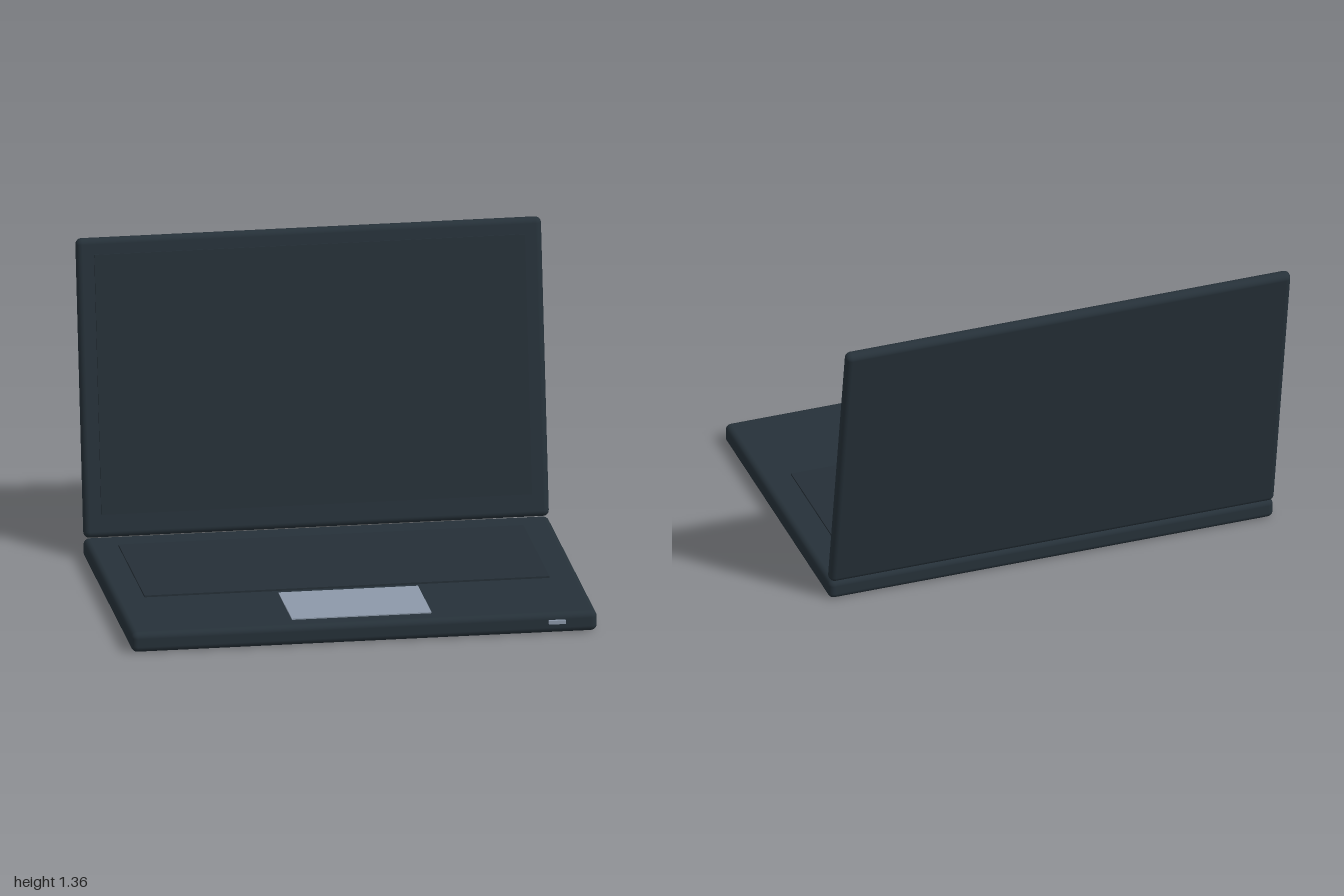
import * as THREE from 'three';
import { RoundedBoxGeometry } from 'three/addons/geometries/RoundedBoxGeometry.js';

const material = (name, color) => {
  const m = new THREE.MeshStandardMaterial({ color });
  m.name = name;
  return m;
};

export function createModel() {
  const shell = material('slate shell', 0x263139);
  const panel = material('dark panel', 0x252f37);
  const metal = material('grey metal', 0x8c98a9);

  const model = new THREE.Group();
  model.name = 'laptop';

  const add = (parent, name, geometry, mat, x, y, z) => {
    const mesh = new THREE.Mesh(geometry, mat);
    mesh.name = name;
    mesh.position.set(x, y, z);
    parent.add(mesh);
    return mesh;
  };

  // Base slab with its keyboard panel, touchpad and front latch
  const baseTop = 0.088;
  add(model, 'base', new RoundedBoxGeometry(2, baseTop, 1.355, 4, 0.026), shell, 0, baseTop / 2, 0.1075);
  add(model, 'keyboardPanel', new THREE.BoxGeometry(1.74, 0.009, 0.715), panel, 0, baseTop + 0.0035, -0.0625);
  add(model, 'touchpad', new THREE.BoxGeometry(0.6, 0.008, 0.37), metal, 0, baseTop + 0.001, 0.515);
  add(model, 'frontLatch', new THREE.BoxGeometry(0.072, 0.016, 0.018), metal, 0.826, 0.052, 0.791);

  // Lid leaning back ten degrees, with the screen on its front
  const thickness = 0.055;
  const lid = new THREE.Group();
  lid.name = 'lid';
  lid.position.set(0, 0.7225, -0.6625);
  lid.rotation.x = -THREE.MathUtils.degToRad(10);
  model.add(lid);
  add(lid, 'lidShell', new RoundedBoxGeometry(2, 1.284, thickness, 4, 0.026), shell, 0, 0, 0);
  add(lid, 'screen', new THREE.BoxGeometry(1.85, 1.115, 0.0095), panel, 0, 0.015, thickness / 2 + 0.004);

  return model;
}
